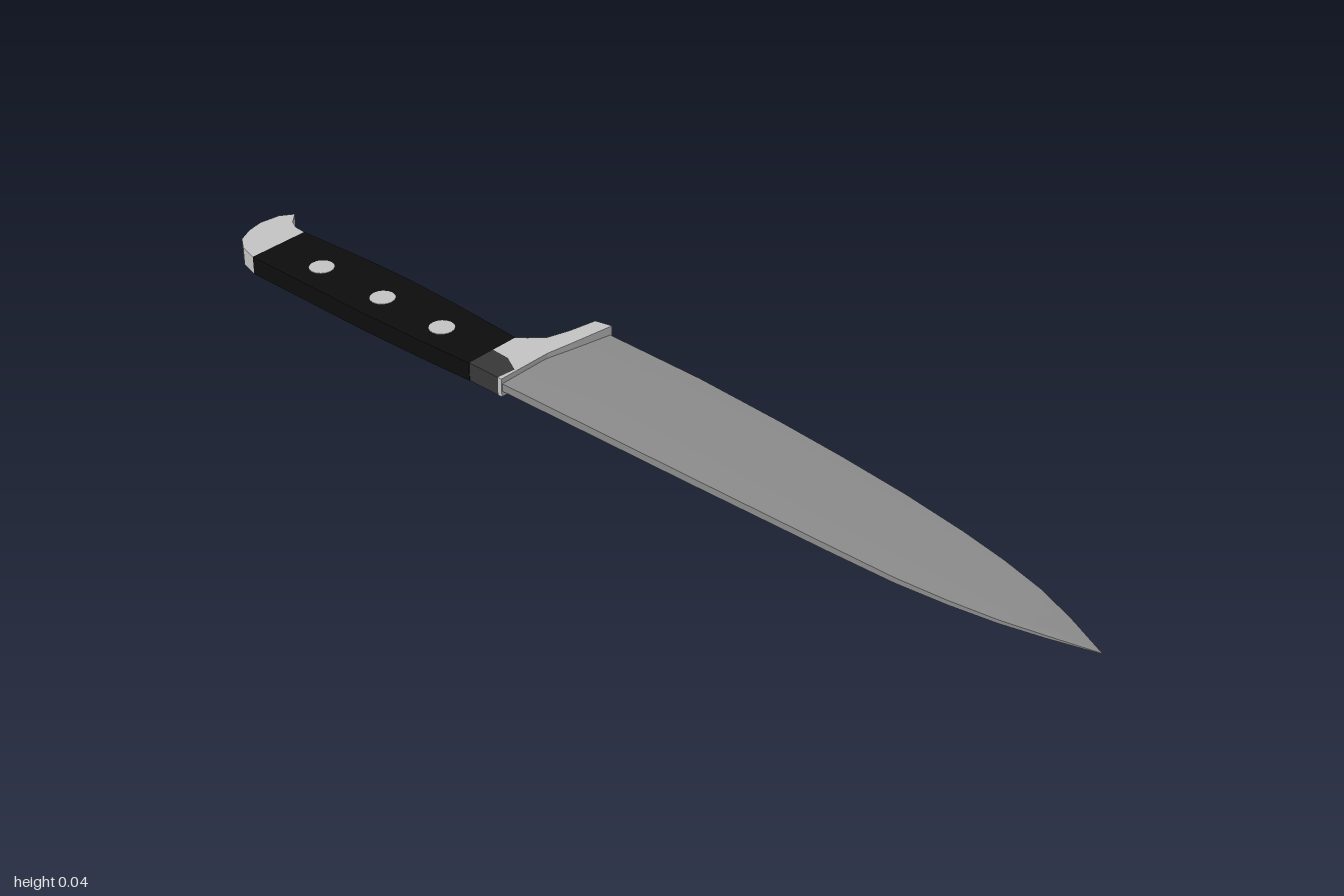
import * as THREE from 'three';
import { toCreasedNormals } from 'three/addons/utils/BufferGeometryUtils.js';

const H = 0.038; // full thickness of handle, bolster and pommel
const MID = H / 2;

const mat = (name, color) => {
  const m = new THREE.MeshStandardMaterial({ color });
  m.name = name;
  return m;
};

// Extrudes an outline of [x, z] points upward between y0 and y1
function plate(name, points, material, y0 = 0, y1 = H) {
  const shape = new THREE.Shape(points.map(([x, z]) => new THREE.Vector2(x, z)));
  const geo = new THREE.ExtrudeGeometry(shape, { depth: y1 - y0, bevelEnabled: false });
  geo.rotateX(Math.PI / 2).translate(0, y1, 0);
  const mesh = new THREE.Mesh(geo, material);
  mesh.name = name;
  return mesh;
}

// Blade lofted along z from wedge sections: [z, spine x, edge x, half thickness]
function bladeGeometry() {
  const sections = [
    [-0.245, -0.127, 0.136, 0.009], [0, -0.123, 0.135, 0.0085], [0.2, -0.12, 0.124, 0.008],
    [0.35, -0.117, 0.112, 0.0075], [0.5, -0.114, 0.096, 0.007], [0.64, -0.11, 0.075, 0.006],
    [0.74, -0.1, 0.055, 0.005], [0.83, -0.086, 0.031, 0.004], [0.91, -0.067, 0, 0.003],
    [1.0, -0.043, -0.042, 0.0008],
  ];
  const pos = [], index = [];
  sections.forEach(([z, s, e, t], k) => {
    const m = s + (e - s) * 0.4;
    const thin = 0.0006;
    const ring = [[s, t * 0.9], [m, t], [e, thin], [e, -thin], [m, -t], [s, -t * 0.9]];
    ring.forEach(([x, y]) => pos.push(x, MID + y, z));
    if (k === 0) return;
    for (let i = 0; i < 6; i++) {
      const j = (i + 1) % 6, a = (k - 1) * 6, b = k * 6;
      index.push(a + i, b + i, b + j, a + i, b + j, a + j);
    }
  });
  const last = (sections.length - 1) * 6;
  for (let i = 1; i < 5; i++) {
    index.push(0, i, i + 1, last, last + i + 1, last + i);
  }
  const geo = new THREE.BufferGeometry();
  geo.setAttribute('position', new THREE.Float32BufferAttribute(pos, 3));
  geo.setIndex(index);
  return toCreasedNormals(geo, 0.35);
}

export function createModel() {
  const knife = new THREE.Group();
  knife.name = 'kitchenKnife';
  const steel = mat('blade steel', 0x8c8c8c);
  const bright = mat('bright steel', 0xc4c4c4);
  const black = mat('black handle', 0x0d0d0d);
  const dark = mat('dark grey', 0x383838);

  const blade = new THREE.Mesh(bladeGeometry(), steel);
  blade.name = 'blade';
  knife.add(blade);

  // Bolster with its finger guard, and the dark inset at the spine side
  knife.add(plate('bolster', [
    [-0.068, -0.325], [-0.01, -0.325], [0.004, -0.308], [0.03, -0.282], [0.075, -0.268],
    [0.132, -0.257], [0.14, -0.222], [0.05, -0.234], [-0.01, -0.243], [-0.129, -0.243],
    [-0.129, -0.252], [-0.09, -0.248], [-0.07, -0.285],
  ], bright));
  knife.add(plate('bolsterInset', [
    [-0.129, -0.325], [-0.068, -0.325], [-0.07, -0.285], [-0.09, -0.248], [-0.129, -0.252],
  ], dark));

  // Handle scales
  const belly = [[-0.01, -0.325], [0, -0.49], [0.004, -0.625], [0.002, -0.73], [-0.008, -0.908]];
  knife.add(plate('handle', [
    ...belly, [-0.14, -0.908], [-0.14, -0.6], [-0.136, -0.45], [-0.13, -0.325],
  ], black));

  // Grey strips along the finger side of the handle
  for (const i of [1, 3]) {
    const [a, b] = [belly[i], belly[i + 1]];
    knife.add(plate('handleStrip', [
      a, b, [b[0] + 0.001, b[1]], [a[0] + 0.001, a[1]],
    ], dark, 0.0005, H - 0.0005));
  }

  // Hooked pommel
  knife.add(plate('pommel', [
    [-0.008, -0.908], [-0.006, -0.935], [0.004, -0.955], [0.028, -0.976], [0.002, -0.994],
    [-0.04, -1], [-0.075, -0.993], [-0.108, -0.977], [-0.128, -0.95], [-0.14, -0.908],
  ], bright));

  // Rivets passing through the handle
  for (const z of [-0.78, -0.61, -0.45]) {
    const rivet = new THREE.Mesh(new THREE.CylinderGeometry(0.025, 0.025, H + 0.002, 16), bright);
    rivet.name = 'rivet';
    rivet.position.set(-0.077, MID, z);
    knife.add(rivet);
  }
  return knife;
}
